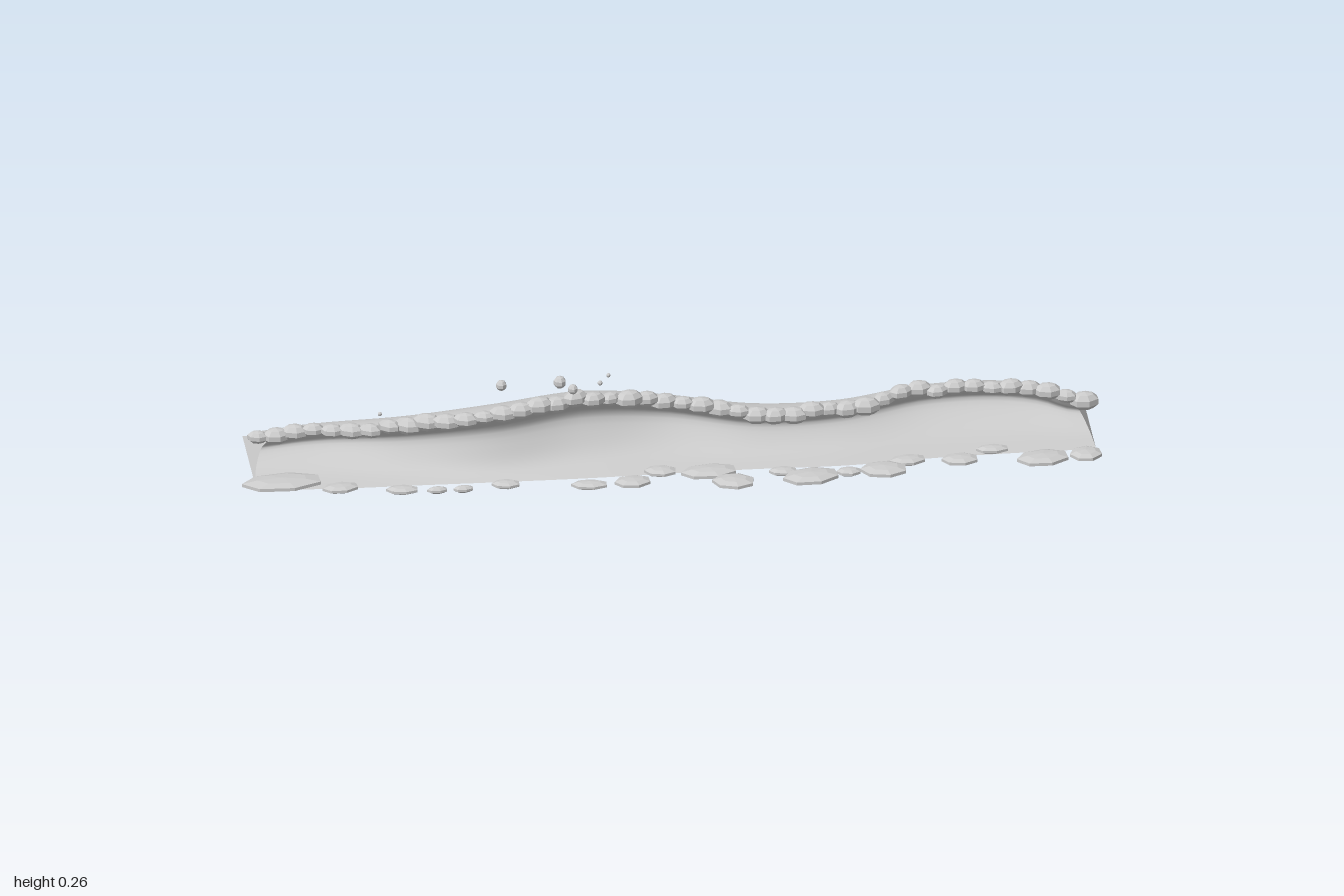
import * as THREE from 'three';

// Wave parameters sampled every 0.2 along x, from -1 to 1
const track = (vals) => {
  const curve = new THREE.SplineCurve(vals.map((v, i) => new THREE.Vector2(-1 + 0.2 * i, v)));
  return (x) => curve.getPoint(THREE.MathUtils.clamp((x + 1) / 2, 0, 1)).y;
};
const crestY = track([0.07, 0.092, 0.125, 0.168, 0.183, 0.142, 0.107, 0.1, 0.112, 0.107, 0.065]);
const crestZ = track([-0.05, -0.035, 0.03, 0.085, 0.055, 0.005, 0.018, 0.002, -0.045, -0.05, -0.03]);
const frontZ = track([0.055, 0.075, 0.08, 0.085, 0.088, 0.085, 0.085, 0.09, 0.075, 0.07, 0.07]);
const backZ = track([-0.22, -0.218, -0.208, -0.2, -0.196, -0.2, -0.205, -0.2, -0.214, -0.22, -0.215]);

const X0 = -0.96, X1 = 0.98, SECTIONS = 64;

function seeded(seed) {
  return () => {
    seed = (seed * 16807) % 2147483647;
    return seed / 2147483647;
  };
}

const smooth = (pts, n) =>
  new THREE.SplineCurve(pts.map(([z, y]) => new THREE.Vector2(z, y))).getPoints(n);

// Back slope: from the rear base up to the lip
function backProfile(x) {
  const h = crestY(x), zl = crestZ(x), zb = backZ(x), d = zl - zb;
  const at = (u, v) => [zb + u * d, v * h];
  return smooth([at(0, 0), at(0.18, 0.2), at(0.36, 0.45), at(0.5, 0.7), at(0.62, 0.88), at(0.8, 0.97), at(1, 1)], 18);
}

// Hollow face: from the lip under the curl and down to the front base
function faceProfile(x) {
  const h = crestY(x), zl = crestZ(x), zf = frontZ(x);
  const zr = zl - 0.012 - 0.6 * Math.max(0, h - 0.07), w = zf - zr;
  return smooth([[zl, h], [zl - (zl - zr) * 0.5, h * 0.82], [zr, h * 0.6], [zr + w * 0.2, h * 0.32], [zr + w * 0.52, h * 0.11], [zf, 0]], 18);
}

const baseProfile = (x) => [new THREE.Vector2(frontZ(x), 0), new THREE.Vector2(backZ(x), 0)];

// Ends lean inward toward the crest
function place(x, p) {
  const lean = 0.04 * Math.min(1, p.y / 0.07);
  const k = THREE.MathUtils.smoothstep(Math.abs(x - 0.01), 0.85, 0.97);
  return [x - Math.sign(x) * lean * k, p.y, p.x];
}

function makeGeometry(pos, idx) {
  const g = new THREE.BufferGeometry();
  g.setAttribute('position', new THREE.Float32BufferAttribute(pos, 3));
  g.setIndex(idx);
  g.computeVertexNormals();
  return g;
}

function loft(profile) {
  const pos = [], idx = [];
  let n = 0;
  for (let i = 0; i <= SECTIONS; i++) {
    const x = X0 + ((X1 - X0) * i) / SECTIONS;
    const pts = profile(x);
    n = pts.length;
    pts.forEach((p) => pos.push(...place(x, p)));
  }
  for (let i = 0; i < SECTIONS; i++) {
    for (let j = 0; j < n - 1; j++) {
      const a = i * n + j, b = a + n;
      idx.push(a, a + 1, b, a + 1, b + 1, b);
    }
  }
  return makeGeometry(pos, idx);
}

function endCap(x) {
  const pts = [...backProfile(x), ...faceProfile(x).slice(1)];
  const idx = THREE.ShapeUtils.triangulateShape(pts, []).flat();
  return makeGeometry(pts.flatMap((p) => place(x, p)), idx);
}

export function createModel() {
  const group = new THREE.Group();
  const water = new THREE.MeshStandardMaterial({ color: 0xcccccc, side: THREE.DoubleSide });
  const foam = new THREE.MeshStandardMaterial({ color: 0xcccccc, flatShading: true });
  const rand = seeded(4217);

  const add = (parent, name, geo, mat) => {
    const m = new THREE.Mesh(geo, mat);
    m.name = name;
    parent.add(m);
    return m;
  };

  // Wave body
  const wave = new THREE.Group();
  wave.name = 'wave';
  group.add(wave);
  add(wave, 'waveBack', loft(backProfile), water);
  add(wave, 'waveFace', loft(faceProfile), water);
  add(wave, 'waveBase', loft(baseProfile), water);
  add(wave, 'waveRightEnd', endCap(X0), water);
  add(wave, 'waveLeftEnd', endCap(X1), water);

  const blobGeo = new THREE.SphereGeometry(1, 7, 5);
  const blob = (parent, name, x, y, z, rx, ry, rz, turn) => {
    const m = add(parent, name, blobGeo, foam);
    m.position.set(x, y, z);
    m.scale.set(rx, ry, rz);
    m.rotation.y = turn;
  };

  // Foam lumps along the crest
  const crest = new THREE.Group();
  crest.name = 'crestFoam';
  group.add(crest);
  const COUNT = 46;
  for (let i = 0; i < COUNT; i++) {
    const x = -0.945 + (1.91 * i) / (COUNT - 1);
    const r = 0.017 + 0.008 * rand();
    const slope = (crestZ(x + 0.02) - crestZ(x - 0.02)) / 0.04;
    blob(crest, 'crestLump', x, crestY(x) + 0.006 + 0.01 * (rand() - 0.5), crestZ(x) + 0.004 + 0.016 * (rand() - 0.5),
      r * 1.45, r * 0.9, r, -Math.atan(slope) + 0.4 * (rand() - 0.5));
  }

  // Flat foam patches in front: x, z, half width, half depth
  const patches = [
    [-0.9, 0.068, 0.1, 0.045], [-0.77, 0.105, 0.045, 0.025], [-0.63, 0.13, 0.04, 0.02], [-0.55, 0.135, 0.025, 0.012],
    [-0.49, 0.14, 0.025, 0.012], [-0.39, 0.125, 0.035, 0.02], [-0.2, 0.155, 0.045, 0.022], [-0.1, 0.15, 0.045, 0.03],
    [-0.03, 0.1, 0.04, 0.026], [0.08, 0.12, 0.07, 0.036], [0.13, 0.178, 0.052, 0.038], [0.25, 0.13, 0.035, 0.02],
    [0.31, 0.168, 0.07, 0.042], [0.4, 0.147, 0.03, 0.02], [0.48, 0.155, 0.058, 0.04], [0.54, 0.11, 0.045, 0.026],
    [0.66, 0.12, 0.045, 0.03], [0.74, 0.075, 0.04, 0.02], [0.85, 0.135, 0.065, 0.04], [0.95, 0.128, 0.04, 0.036],
  ];
  const base = new THREE.Group();
  base.name = 'baseFoam';
  group.add(base);
  for (const [x, z, rx, rz] of patches) {
    const ry = 0.007 + 0.12 * rz;
    blob(base, 'foamPatch', x, ry + 0.003 + 0.004 * rand(), z, rx, ry, rz, 0.3 * (rand() - 0.5));
  }

  // Spray droplets above the peak: x, y, z, radius
  const drops = [
    [-0.26, 0.242, 0.072, 0.015], [-0.23, 0.222, 0.072, 0.012], [-0.39, 0.218, 0.025, 0.013],
    [-0.165, 0.226, 0.055, 0.006], [-0.14, 0.22, 0.005, 0.005], [-0.67, 0.158, 0.02, 0.005],
  ];
  const spray = new THREE.Group();
  spray.name = 'spray';
  group.add(spray);
  for (const [x, y, z, r] of drops) blob(spray, 'droplet', x, y, z, r, r, r, 0);

  return group;
}
